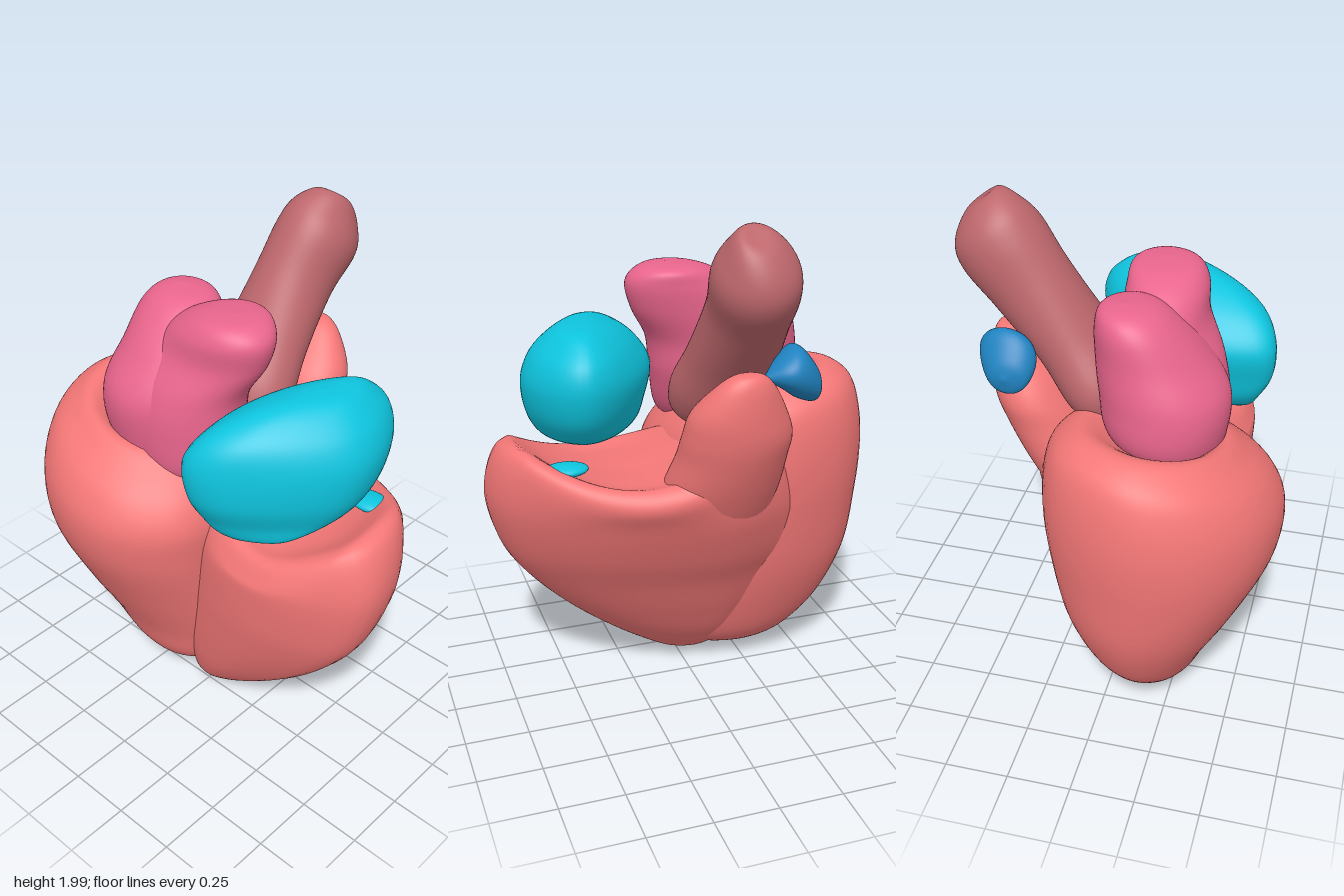
import * as THREE from 'three';
import { mergeVertices } from 'three/addons/utils/BufferGeometryUtils.js';

const AROUND = 64, STEPS = 7;
const MUSCLE = 0xf47777, TEAL = 0x0ec4de, PINK = 0xe9658d, VESSEL = 0xbd676c, BLUE = 0x2083c0;

// Closed smooth outline, normalised to the unit square (ordered from +x towards +z)
function unitOutline(points) {
  const curve = new THREE.CatmullRomCurve3(points.map(([x, z]) => new THREE.Vector3(x, 0, z)), true);
  const pts = curve.getSpacedPoints(AROUND).slice(0, AROUND);
  const box = new THREE.Box3().setFromPoints(pts), size = box.getSize(new THREE.Vector3());
  return pts.map(p => [(p.x - box.min.x) / size.x, (p.z - box.min.z) / size.z]);
}

const ROUND = Array.from({ length: AROUND }, (_, i) => {
  const a = i / AROUND * Math.PI * 2;
  return [0.5 + 0.5 * Math.cos(a), 0.5 + 0.5 * Math.sin(a)];
});

// Skin a smooth surface over rows of [y, xMin, xMax, zMin, zMax]
function loft(name, color, rows, outline = ROUND, lift = null) {
  const spline = pick => new THREE.CatmullRomCurve3(rows.map(pick), false, 'catmullrom', 0.5);
  const yx = spline(r => new THREE.Vector3(r[0], r[1], r[2]));
  const zz = spline(r => new THREE.Vector3(r[3], r[4], 0));
  const count = (rows.length - 1) * STEPS, pos = [], index = [];
  for (let i = 0; i <= count; i++) {
    const a = yx.getPoint(i / count), b = zz.getPoint(i / count);
    outline.forEach(([u, v], j) => {
      const x = a.y + (a.z - a.y) * u, z = b.x + (b.y - b.x) * v;
      pos.push(x, a.x + (lift ? lift(x, a.x, z) : 0), z);
      if (i === count) return;
      const p = i * AROUND + j, q = i * AROUND + (j + 1) % AROUND;
      index.push(p, p + AROUND, q, q, p + AROUND, q + AROUND);
    });
  }
  let geo = new THREE.BufferGeometry();
  geo.setAttribute('position', new THREE.Float32BufferAttribute(pos, 3));
  geo.setIndex(index);
  geo = mergeVertices(geo, 1e-5);
  geo.computeVertexNormals();
  const mesh = new THREE.Mesh(geo, new THREE.MeshStandardMaterial({ color, side: THREE.DoubleSide }));
  mesh.name = name;
  return mesh;
}

export function createModel() {
  const heart = new THREE.Group();
  heart.name = 'heart';
  const { smoothstep, clamp } = THREE.MathUtils;

  // Rear ventricle: tapered dome with a dished top that is higher at the back
  const dome = unitOutline([[0.24, -0.4], [0.22, -0.18], [0.1, 0.04], [-0.2, 0.12], [-0.45, 0.08],
    [-0.61, -0.1], [-0.65, -0.32], [-0.58, -0.56], [-0.42, -0.73], [-0.2, -0.8], [0, -0.75], [0.16, -0.62]]);
  heart.add(loft('leftVentricle', MUSCLE, [
    [0.02, -0.2, -0.2, -0.27, -0.27],
    [0.05, -0.28, -0.08, -0.4, -0.1],
    [0.13, -0.35, 0.02, -0.52, 0],
    [0.28, -0.41, 0.1, -0.65, 0.05],
    [0.5, -0.52, 0.18, -0.75, 0.08],
    [0.75, -0.63, 0.23, -0.79, 0.1],
    [0.95, -0.65, 0.25, -0.8, 0.11],
    [1.1, -0.6, 0.23, -0.76, 0.08],
    [1.19, -0.5, 0.17, -0.69, 0],
    [1.23, -0.42, 0.08, -0.6, -0.1],
    [1.16, -0.32, -0.05, -0.48, -0.2],
    [1.12, -0.2, -0.2, -0.33, -0.33],
  ], dome, (x, y, z) => (0.1 * (x + 0.2) - 0.18 * (z + 0.3)) * smoothstep(y, 0.8, 1.15)));

  // Front ventricle: wraps the rear one and runs smoothly onto its side, with a saddle-shaped rim
  const wrap = unitOutline([[0.39, -0.04], [0.33, 0.28], [0.17, 0.6], [-0.03, 0.78], [-0.22, 0.79],
    [-0.34, 0.64], [-0.42, 0.4], [-0.36, 0.1], [-0.05, -0.2], [0.2, -0.38], [0.32, -0.24]]);
  heart.add(loft('rightVentricle', MUSCLE, [
    [0, -0.2, -0.2, 0, 0],
    [0.04, -0.27, -0.11, -0.15, 0.1],
    [0.17, -0.33, 0.02, -0.26, 0.3],
    [0.33, -0.37, 0.12, -0.34, 0.5],
    [0.5, -0.4, 0.21, -0.38, 0.66],
    [0.65, -0.42, 0.3, -0.39, 0.75],
    [0.85, -0.43, 0.39, -0.36, 0.8],
    [1.0, -0.41, 0.42, -0.27, 0.77],
    [1.06, -0.36, 0.36, -0.15, 0.7],
    [1.03, -0.25, 0.25, 0, 0.55],
    [1.01, 0, 0, 0.3, 0.3],
  ], wrap, (x, y, z) => (0.9 * (clamp(z, -0.05, 0.68) - 0.35) ** 2
    - 0.06 - 0.28 * (x - 0.08) ** 2) * smoothstep(y, 0.8, 1.05)));

  // Outflow horn rising from the front ventricle
  heart.add(loft('outflowTract', MUSCLE, [
    [0.5, 0.08, 0.08, -0.05, -0.05],
    [0.65, -0.05, 0.24, -0.2, 0.14],
    [0.8, 0, 0.35, -0.25, 0.17],
    [0.95, 0.07, 0.435, -0.27, 0.19],
    [1.1, 0.15, 0.5, -0.27, 0.16],
    [1.2, 0.21, 0.53, -0.27, 0.15],
    [1.3, 0.27, 0.54, -0.23, 0.13],
    [1.4, 0.37, 0.535, -0.17, 0.06],
    [1.45, 0.43, 0.515, -0.12, 0],
    [1.46, 0.48, 0.48, -0.06, -0.06],
  ]));

  // Valve patch tucked behind the front rim
  const valve = new THREE.Mesh(new THREE.SphereGeometry(1, 32, 16),
    new THREE.MeshStandardMaterial({ color: TEAL }));
  valve.name = 'frontValve';
  valve.scale.set(0.06, 0.025, 0.09);
  valve.position.set(0.1, 1.025, 0.53);
  heart.add(valve);

  // Front atrium
  const bean = unitOutline([[0.23, 0.46], [0.17, 0.56], [0, 0.64], [-0.15, 0.63], [-0.36, 0.47],
    [-0.5, 0.27], [-0.5, 0.14], [-0.37, 0.09], [-0.18, 0.1], [0.03, 0.2], [0.19, 0.35]]);
  heart.add(loft('rightAtrium', TEAL, [
    [1.0, -0.32, -0.32, 0.33, 0.33],
    [1.025, -0.42, -0.2, 0.22, 0.46],
    [1.1, -0.47, 0.06, 0.14, 0.57],
    [1.2, -0.515, 0.18, 0.11, 0.63],
    [1.33, -0.52, 0.23, 0.09, 0.65],
    [1.43, -0.47, 0.22, 0.15, 0.62],
    [1.5, -0.36, 0.16, 0.24, 0.56],
    [1.54, -0.22, 0.08, 0.34, 0.5],
    [1.55, -0.06, -0.06, 0.42, 0.42],
  ], bean));

  // Rear atrium: broad body joined to a column that leans forward
  const atrium = new THREE.Group();
  atrium.name = 'leftAtrium';
  atrium.add(loft('atriumBody', PINK, [
    [1.06, -0.26, -0.26, -0.2, -0.2],
    [1.1, -0.37, -0.1, -0.4, -0.04],
    [1.22, -0.415, 0.03, -0.5, -0.02],
    [1.38, -0.42, 0.06, -0.5, -0.02],
    [1.52, -0.33, 0.075, -0.465, -0.03],
    [1.64, -0.23, 0.07, -0.44, -0.1],
    [1.7, -0.15, 0.045, -0.39, -0.17],
    [1.72, -0.04, -0.04, -0.3, -0.3],
  ]));
  atrium.add(loft('atriumColumn', PINK, [
    [1.05, -0.27, -0.27, -0.12, -0.12],
    [1.1, -0.38, -0.12, -0.32, 0.05],
    [1.28, -0.4, 0, -0.4, 0.1],
    [1.43, -0.37, 0.01, -0.36, 0.12],
    [1.56, -0.3, 0.02, -0.31, 0.19],
    [1.67, -0.28, 0.02, -0.2, 0.215],
    [1.73, -0.23, 0, -0.08, 0.16],
    [1.745, -0.12, -0.12, 0.06, 0.06],
  ]));
  heart.add(atrium);

  // Main artery leaning towards the left
  const artery = loft('mainArtery', VESSEL, [
    [0, 0, 0, -0.1, -0.1],
    [0.04, -0.13, 0.09, -0.26, 0.07],
    [0.15, -0.18, 0.12, -0.32, 0.11],
    [0.35, -0.17, 0.12, -0.28, 0.08],
    [0.6, -0.175, 0.15, -0.25, 0.06],
    [0.78, -0.18, 0.175, -0.24, 0.08],
    [0.88, -0.16, 0.14, -0.21, 0.05],
    [0.95, -0.115, 0.04, -0.13, 0.01],
    [0.955, -0.06, -0.06, -0.05, -0.05],
  ]);
  artery.rotation.z = -35 * Math.PI / 180;
  artery.position.set(0.03, 1.15, 0);
  heart.add(artery);

  // Small valve cap behind the outflow horn: rows run along z, then -yMax and -yMin
  const cap = loft('outflowValve', BLUE, [
    [-0.37, 0.4, 0.4, -1.38, -1.38],
    [-0.345, 0.32, 0.47, -1.45, -1.31],
    [-0.27, 0.3, 0.52, -1.53, -1.33],
    [-0.2, 0.36, 0.52, -1.5, -1.38],
    [-0.12, 0.46, 0.46, -1.43, -1.43],
  ]);
  cap.rotation.x = Math.PI / 2;
  heart.add(cap);

  return heart;
}
